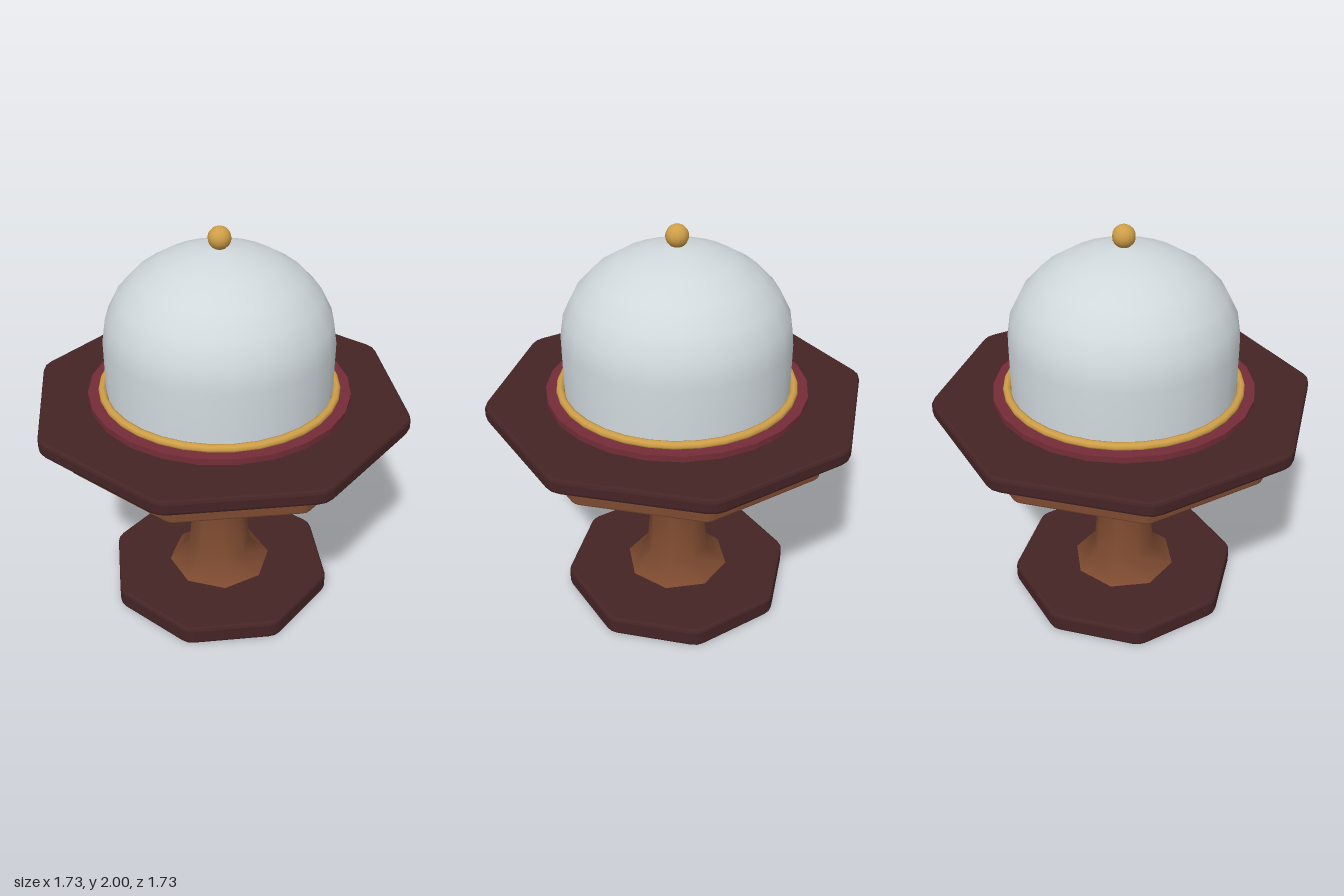
import * as THREE from 'three';

const mat = (name, color, side = THREE.FrontSide) => {
  const m = new THREE.MeshStandardMaterial({ color, side });
  m.name = name;
  return m;
};

export function createModel() {
  const group = new THREE.Group();
  const darkWood = mat('dark wood', 0x452425);
  const wood = mat('warm wood', 0x7d4a30);
  const velvet = mat('red velvet', 0x742d37);
  const brass = mat('brass', 0xcf9f48);
  const glass = mat('pale glass', 0xd0d8dc, THREE.DoubleSide);

  const add = (name, geometry, material, y = 0) => {
    const mesh = new THREE.Mesh(geometry, material);
    mesh.name = name;
    mesh.position.y = y;
    group.add(mesh);
    return mesh;
  };

  // Octagonal slab with flats on the axes, softened corners and bevelled rims
  const slab = (apothem, y0, y1, bevel, round) => {
    const a = apothem - bevel;
    const r = a / Math.cos(Math.PI / 8);
    const corner = i => {
      const t = (i + 0.5) * Math.PI / 4;
      return new THREE.Vector2(r * Math.cos(t), r * Math.sin(t));
    };
    const k = round / (2 * r * Math.sin(Math.PI / 8));
    const shape = new THREE.Shape();
    for (let i = 0; i < 8; i++) {
      const c = corner(i);
      const p = c.clone().lerp(corner(i - 1), k);
      const q = c.clone().lerp(corner(i + 1), k);
      if (i === 0) shape.moveTo(p.x, p.y);
      else shape.lineTo(p.x, p.y);
      shape.quadraticCurveTo(c.x, c.y, q.x, q.y);
    }
    shape.closePath();
    const g = new THREE.ExtrudeGeometry(shape, {
      depth: y1 - y0 - 2 * bevel, bevelSize: bevel, bevelThickness: bevel,
      bevelSegments: 2, curveSegments: 2,
    });
    return g.rotateX(-Math.PI / 2).translate(0, y0 + bevel, 0);
  };

  const lathe = (points, sides) =>
    new THREE.LatheGeometry(points.map(p => new THREE.Vector2(...p)), sides);

  // Stand
  add('base', slab(0.55, 0, 0.1, 0.016, 0.03), darkWood);
  add('pedestal', lathe([[0.27, 0.1], [0.165, 0.2], [0.13, 0.575], [0.2, 0.835], [0.425, 0.945]], 8), wood);
  add('apron', slab(0.735, 0.94, 1.086, 0.01, 0.02), wood);
  add('tableTop', slab(0.867, 1.086, 1.16, 0.016, 0.04), darkWood);

  // Display cushion and brass ring
  add('cushion', new THREE.CylinderGeometry(0.638, 0.638, 0.03, 24), velvet, 1.175);
  add('ring', new THREE.TorusGeometry(0.567, 0.02, 8, 32).rotateX(Math.PI / 2), brass, 1.2);

  // Bell-shaped cover: straight wall followed by a flattened hemisphere
  const profile = [[0.55, 1.19]];
  for (let i = 0; i <= 6; i++) {
    const t = i * Math.PI / 12;
    profile.push([Math.max(0, 0.55 * Math.cos(t)), 1.46 + 0.44 * Math.sin(t)]);
  }
  add('dome', lathe(profile, 24), glass);
  add('knob', new THREE.SphereGeometry(0.054, 12, 10), brass, 1.946);

  return group;
}
